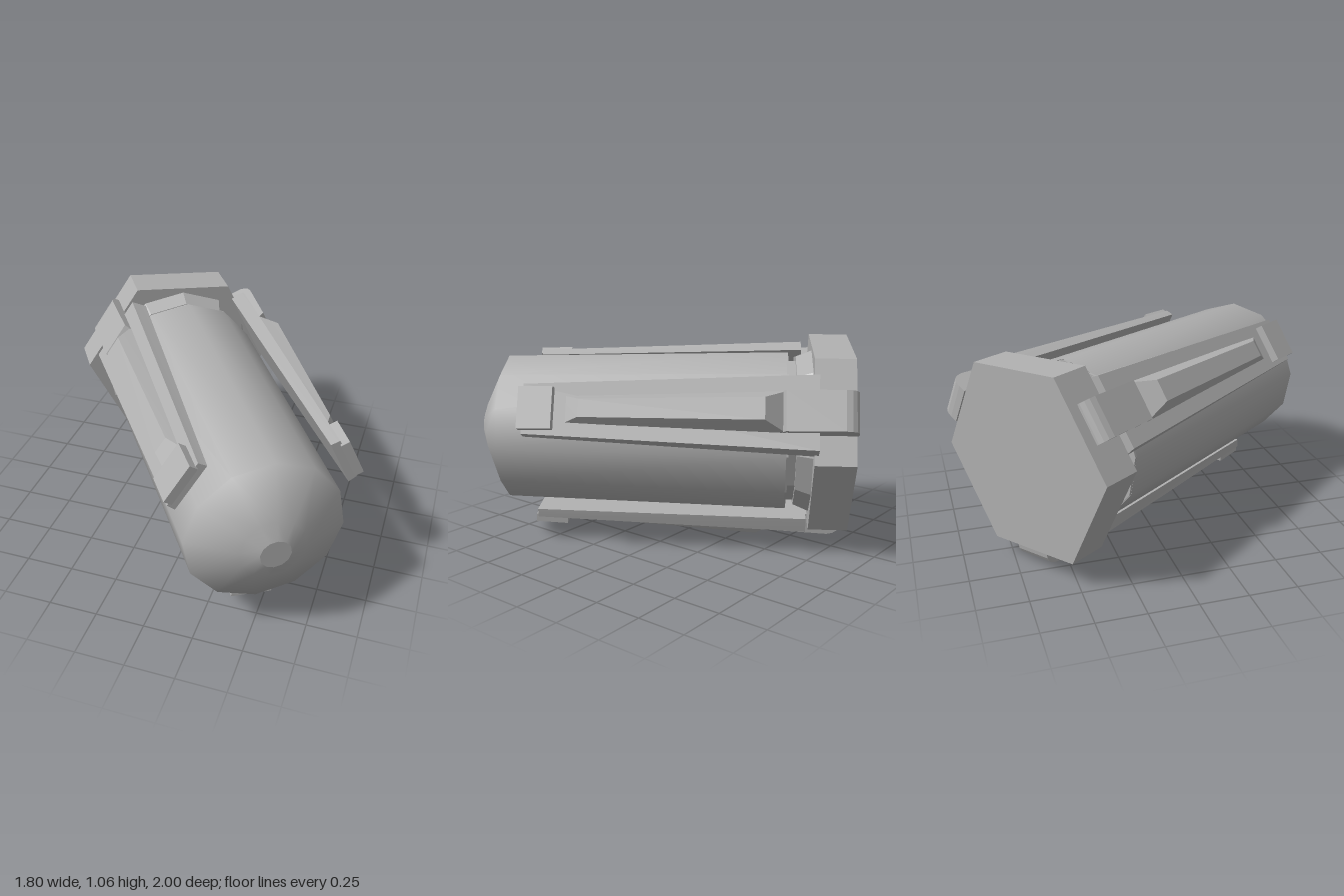
import * as THREE from 'three';

const hull = new THREE.MeshStandardMaterial({ color: 0xb0b0b0 });
hull.name = 'hullGrey';

function part(name, geometry, parent) {
  const mesh = new THREE.Mesh(geometry, hull);
  mesh.name = name;
  parent.add(mesh);
  return mesh;
}

// Box tapered between sections; each section is { z, low, high, wLow, wHigh }
function taper(back, front) {
  const g = new THREE.BoxGeometry(1, 1, 1);
  const p = g.attributes.position;
  for (let i = 0; i < p.count; i++) {
    const s = p.getZ(i) > 0 ? front : back;
    const up = p.getY(i) > 0;
    const z = up && s.zHigh !== undefined ? s.zHigh : s.z;
    p.setXYZ(i, p.getX(i) * (up ? s.wHigh : s.wLow), up ? s.high : s.low, z);
  }
  g.computeVertexNormals();
  return g;
}

// Solid of revolution along z
function turned(points, sides = 12) {
  const g = new THREE.LatheGeometry(points.map(([r, z]) => new THREE.Vector2(r, z)), sides);
  return g.rotateX(Math.PI / 2);
}

// Prism along z
function prism(rFront, rBack, z0, z1, sides) {
  const g = new THREE.CylinderGeometry(rFront, rBack, z1 - z0, sides).toNonIndexed();
  g.rotateX(Math.PI / 2).translate(0, 0, (z0 + z1) / 2);
  g.computeVertexNormals();
  return g;
}

// One clamp arm: +y points away from the body, +z to the nose
function makeArm() {
  const arm = new THREE.Group();

  // long rail that narrows to the nose
  part('armRail', taper(
    { z: -0.63, low: 0.415, high: 0.495, wLow: 0.4, wHigh: 0.37 },
    { z: 0.81, low: 0.425, high: 0.472, wLow: 0.26, wHigh: 0.25 }), arm);

  // raised ridge with sloped ends
  part('armRidge', taper(
    { z: -0.5, zHigh: -0.37, low: 0.47, high: 0.57, wLow: 0.23, wHigh: 0.11 },
    { z: 0.64, zHigh: 0.53, low: 0.45, high: 0.512, wLow: 0.16, wHigh: 0.09 }), arm);

  // foot plate at the front
  const foot = new THREE.BoxGeometry(0.21, 0.045, 0.17);
  foot.rotateX(0.05).translate(0, 0.49, 0.74);
  part('armFoot', foot, arm);

  // rear clamp with a rounded end, hooked over the base
  const s = new THREE.Shape();
  s.moveTo(-0.42, 0.43);
  s.lineTo(-0.47, 0.53);
  s.lineTo(-0.75, 0.545);
  s.quadraticCurveTo(-0.82, 0.54, -0.82, 0.47);
  s.lineTo(-0.82, 0.43);
  const clamp = new THREE.ExtrudeGeometry(s, { depth: 0.2, bevelEnabled: false, curveSegments: 4 });
  clamp.translate(0, 0, -0.1).rotateY(-Math.PI / 2);
  part('armClamp', clamp, arm);
  return arm;
}

export function createModel() {
  const model = new THREE.Group();
  model.name = 'escapePod';

  // pod lies along its own z, turned and slightly rolled
  const pod = new THREE.Group();
  pod.name = 'pod';
  pod.rotation.set(0, 0.588, -0.085, 'YXZ');
  pod.position.set(0.004, 0.575, 0);
  model.add(pod);

  // capsule body and blunt nose
  part('capsuleBody', turned([[0.422, -0.51], [0.387, 0.95], [0.16, 1.065], [0.075, 1.1]]), pod);
  part('noseDisc', new THREE.CircleGeometry(0.075, 12).translate(0, 0, 1.1), pod);
  part('bodyRearPlate', prism(0.42, 0.42, -0.52, -0.508, 12), pod);

  // groove and collar between body and base
  part('neck', prism(0.375, 0.375, -0.62, -0.51, 12), pod);
  part('collar', prism(0.4, 0.435, -0.645, -0.56, 12), pod);

  // six sided base
  part('base', prism(0.53, 0.53, -0.843, -0.64, 6).rotateZ(Math.PI / 2), pod);

  // three arms around the body
  const arms = new THREE.Group();
  arms.name = 'arms';
  arms.position.set(0.035, 0, 0);
  pod.add(arms);
  [['leftArm', 30, -0.03], ['rightArm', 150, 0.03], ['bottomArm', 270, 0]].forEach(([name, angle, shift]) => {
    const arm = makeArm();
    arm.name = name;
    arm.rotation.z = THREE.MathUtils.degToRad(angle - 90);
    arm.position.z = shift;
    arms.add(arm);
  });
  return model;
}
